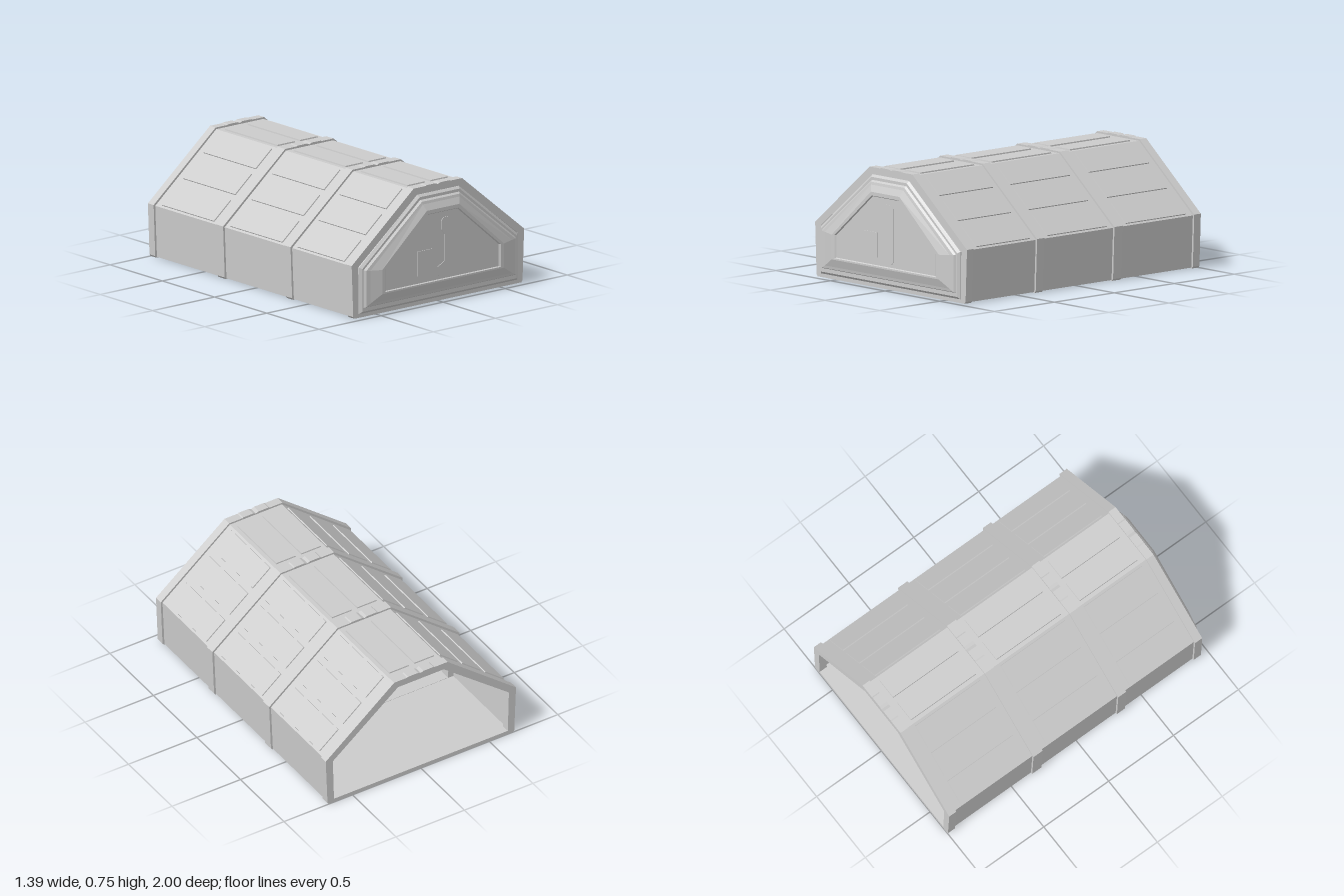
import * as THREE from 'three';

const material = new THREE.MeshStandardMaterial({ color: 0xcccccc, flatShading: true });

// Mirrors right-hand points [x, y] (bottom to top) into a closed counter-clockwise outline
const mirrored = (half) => [
  ...half,
  ...half.filter(([x]) => x > 0).reverse().map(([x, y]) => [-x, y]),
];
const toVectors = (pts) => pts.map(([x, y]) => new THREE.Vector2(x, y));

function add(parent, name, geometry) {
  const mesh = new THREE.Mesh(geometry, material);
  mesh.name = name;
  parent.add(mesh);
  return mesh;
}

// Hollow slice of the tunnel between two depths
function frame(outer, inner, z0, z1) {
  const shape = new THREE.Shape(toVectors(mirrored(outer)));
  shape.holes.push(new THREE.Path(toVectors(mirrored(inner)).reverse()));
  const g = new THREE.ExtrudeGeometry(shape, { depth: z1 - z0, bevelEnabled: false });
  return g.translate(0, 0, z0);
}

// Cladding slab through the shell from point a to b, with sloped edges on its outer face
function panelGeometry(a, b, z0, z1, lift, thickness) {
  const dx = b[0] - a[0], dy = b[1] - a[1], length = Math.hypot(dx, dy);
  const g = new THREE.BoxGeometry(length, thickness, z1 - z0);
  const p = g.attributes.position;
  for (let i = 0; i < p.count; i++) {
    if (p.getY(i) < 0) continue;
    p.setX(i, p.getX(i) - Math.sign(p.getX(i)) * 0.006);
    p.setZ(i, p.getZ(i) - Math.sign(p.getZ(i)) * 0.006);
  }
  g.translate(0, lift - thickness / 2, 0);
  g.rotateZ(Math.atan2(dy, dx));
  g.translate((a[0] + b[0]) / 2, (a[1] + b[1]) / 2, (z0 + z1) / 2);
  g.computeVertexNormals();
  return g;
}

// Stepped solid through outlines [bottom half width, bottom y, shoulder y, top half width, top y, z]
function steppedGeometry(levels) {
  const positions = [], index = [];
  for (const [w, yb, ys, tw, yt, z] of levels) {
    for (const [x, y] of mirrored([[w, yb], [w, ys], [tw, yt]])) positions.push(x, y, z);
  }
  for (let l = 0; l < levels.length - 1; l++) {
    for (let i = 0; i < 6; i++) {
      const a = l * 6 + i, b = l * 6 + (i + 1) % 6;
      index.push(a, b, b + 6, a, b + 6, a + 6);
    }
  }
  const last = (levels.length - 1) * 6;
  for (let i = 1; i < 5; i++) {
    index.push(last, last + i, last + i + 1); // front cap
    index.push(0, i + 1, i); // back cap
  }
  const g = new THREE.BufferGeometry();
  g.setAttribute('position', new THREE.Float32BufferAttribute(positions, 3));
  g.setIndex(index);
  const flat = g.toNonIndexed();
  flat.computeVertexNormals();
  return flat;
}

export function createModel() {
  const model = new THREE.Group();
  model.name = 'shelter';

  // Main shell with floor
  const bodyOuter = [[0.668, 0.005], [0.682, 0.333], [0.19, 0.737]];
  const bodyInner = [[0.65, 0.022], [0.66, 0.33], [0.175, 0.715]];
  add(model, 'shell', frame(bodyOuter, bodyInner, -0.99, 0.94));

  // Ribs with a notched crown; the middle ones stand proud inside as well
  const ribOuter = [
    [0.672, 0], [0.682, 0.012], [0.695, 0.34], [0.195, 0.748],
    [0.1, 0.748], [0.092, 0.752], [0.02, 0.752], [0, 0.744],
  ];
  const endInner = [[0.635, 0.026], [0.643, 0.322], [0.167, 0.702]];
  const midInner = [[0.612, 0.024], [0.62, 0.312], [0.157, 0.678]];
  const ribs = new THREE.Group();
  ribs.name = 'ribs';
  model.add(ribs);
  add(ribs, 'rearRib', frame(ribOuter, endInner, -1, -0.945));
  add(ribs, 'rearMiddleRib', frame(ribOuter, midInner, -0.35, -0.28));
  add(ribs, 'frontMiddleRib', frame(ribOuter, midInner, 0.303, 0.365));
  add(ribs, 'frontRib', frame(ribOuter, endInner, 0.895, 0.95));

  // Roof cladding: three panels per slope and two on the crown, in each bay
  const panels = new THREE.Group();
  panels.name = 'roofPanels';
  model.add(panels);
  const slopeY = (x) => 0.333 + (0.682 - x) * (0.404 / 0.492);
  const slopeSpans = [[0.674, 0.53], [0.503, 0.362], [0.337, 0.2]];
  for (const [z0, z1] of [[-0.9, -0.388], [-0.242, 0.265], [0.4, 0.858]]) {
    for (const [x0, x1] of slopeSpans) {
      const low = [x0, slopeY(x0)], high = [x1, slopeY(x1)];
      add(panels, 'leftSlopePanel', panelGeometry(high, low, z0, z1, 0.007, 0.036));
      add(panels, 'rightSlopePanel',
        panelGeometry([-x0, low[1]], [-x1, high[1]], z0, z1, 0.007, 0.036));
    }
    add(panels, 'leftCrownPanel', panelGeometry([0.016, 0.737], [0.168, 0.737], z0, z1, 0.008, 0.036));
    add(panels, 'rightCrownPanel', panelGeometry([-0.168, 0.737], [-0.016, 0.737], z0, z1, 0.008, 0.036));
  }

  // Stepped front door
  const door = new THREE.Group();
  door.name = 'frontDoor';
  model.add(door);
  add(door, 'doorLeaf', steppedGeometry([
    [0.638, 0.024, 0.321, 0.168, 0.704, 0.905],
    [0.638, 0.024, 0.321, 0.168, 0.704, 0.953],
    [0.622, 0.038, 0.311, 0.161, 0.69, 0.966],
    [0.612, 0.062, 0.303, 0.157, 0.672, 0.966],
    [0.6, 0.068, 0.298, 0.152, 0.662, 0.978],
    [0.57, 0.085, 0.295, 0.148, 0.645, 0.982],
    [0.49, 0.135, 0.29, 0.13, 0.605, 1],
    [0.465, 0.145, 0.29, 0.123, 0.582, 1],
    [0.455, 0.15, 0.29, 0.12, 0.577, 0.992],
  ]));

  // Control plate and long handle plate on the door
  const plate = (name, pts) => {
    const g = new THREE.ExtrudeGeometry(new THREE.Shape(toVectors(pts)), { depth: 0.008, bevelEnabled: false });
    add(door, name, g.translate(0, 0, 0.988));
  };
  plate('controlPlate', [[-0.205, 0.2], [-0.075, 0.2], [-0.075, 0.355], [-0.205, 0.355]]);
  plate('handlePlate', [
    [-0.02, 0.165], [0.05, 0.165], [0.068, 0.185], [0.068, 0.52], [0.052, 0.54], [0.008, 0.54],
    [-0.01, 0.52], [-0.01, 0.465], [0.015, 0.43], [0.015, 0.26], [-0.04, 0.23], [-0.04, 0.18],
  ]);

  return model;
}
